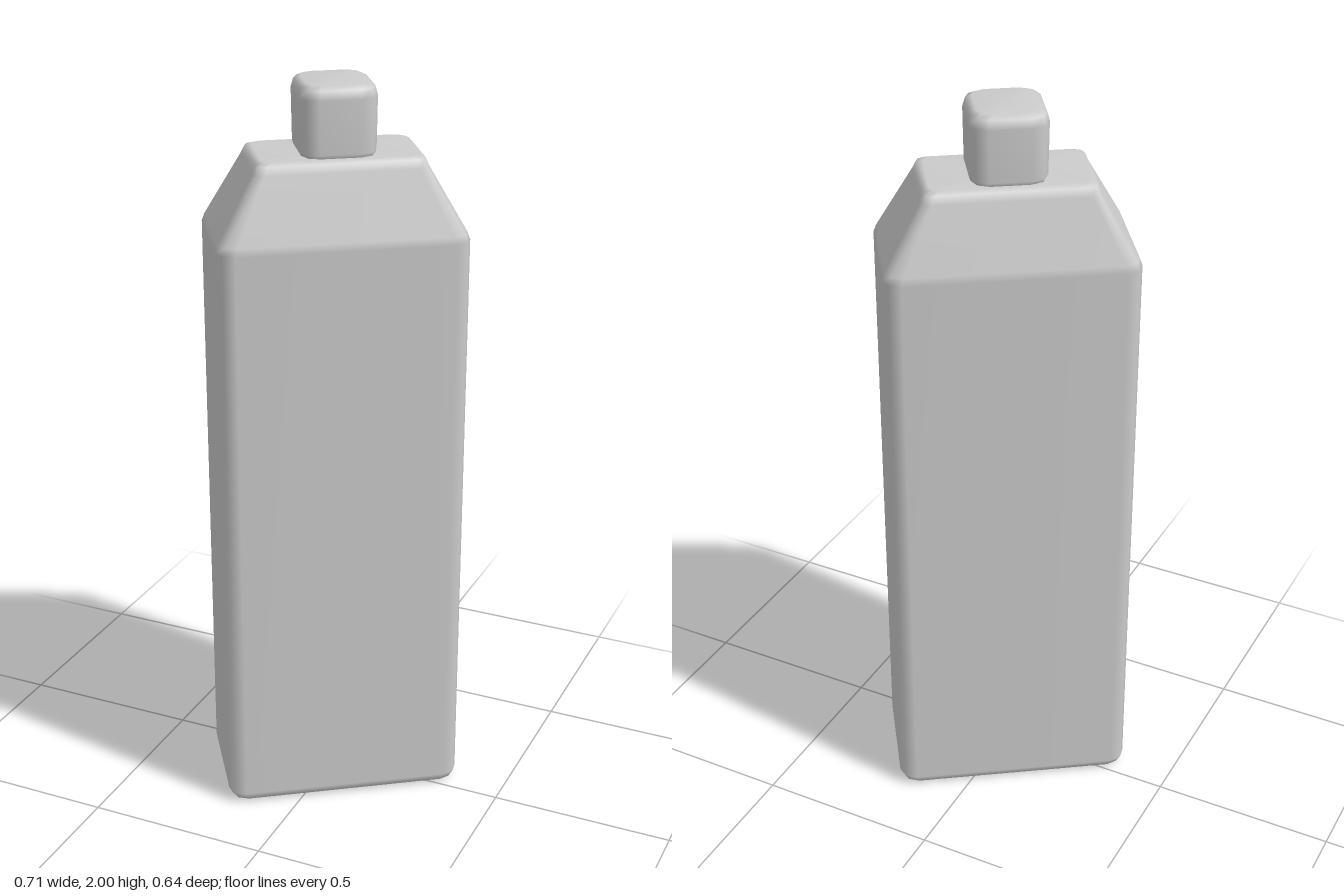
import * as THREE from 'three';

const material = new THREE.MeshStandardMaterial({ color: 0xcccccc });

// Lofts rounded rectangles; each section is [y, half width, half depth, corner radius]
function loft(name, sections) {
  const signs = [[1, 1], [-1, 1], [-1, -1], [1, -1]];
  const pos = [], index = [], n = 12;
  for (const [y, hw, hd, r] of sections) {
    signs.forEach(([sx, sz], corner) => {
      for (let k = 0; k < 3; k++) {
        const a = (corner + k / 2) * Math.PI / 2;
        pos.push(sx * (hw - r) + r * Math.cos(a), y, sz * (hd - r) + r * Math.sin(a));
      }
    });
  }
  for (let s = 0; s < sections.length - 1; s++) {
    for (let i = 0; i < n; i++) {
      const a = s * n + i, b = s * n + (i + 1) % n;
      index.push(a, a + n, b, b, a + n, b + n);
    }
  }
  const geo = new THREE.BufferGeometry();
  geo.setAttribute('position', new THREE.Float32BufferAttribute(pos, 3));
  geo.setIndex(index);
  geo.computeVertexNormals();
  const mesh = new THREE.Mesh(geo, material);
  mesh.name = name;
  return mesh;
}

export function createModel() {
  const group = new THREE.Group();
  group.name = 'bottle';

  // Tall body with a softened base and sloping shoulders
  group.add(loft('body', [
    [0, 0, 0, 0],
    [0, 0.29, 0.151, 0.03],
    [0.009, 0.315, 0.176, 0.04],
    [0.032, 0.326, 0.187, 0.044],
    [1.605, 0.326, 0.187, 0.044],
    [1.625, 0.319, 0.182, 0.042],
    [1.793, 0.224, 0.131, 0.026],
    [1.813, 0.216, 0.123, 0.026],
    [1.82, 0.2, 0.108, 0.026],
    [1.82, 0, 0, 0],
  ]));

  // Squared cap with rounded edges
  group.add(loft('cap', [
    [1.815, 0, 0, 0],
    [1.815, 0.092, 0.098, 0.042],
    [1.83, 0.098, 0.105, 0.045],
    [1.968, 0.1, 0.107, 0.045],
    [1.991, 0.094, 0.101, 0.043],
    [2, 0.078, 0.085, 0.035],
    [2, 0, 0, 0],
  ]));

  // The bottle stands turned about its vertical axis
  group.rotation.y = THREE.MathUtils.degToRad(34.4);
  return group;
}
